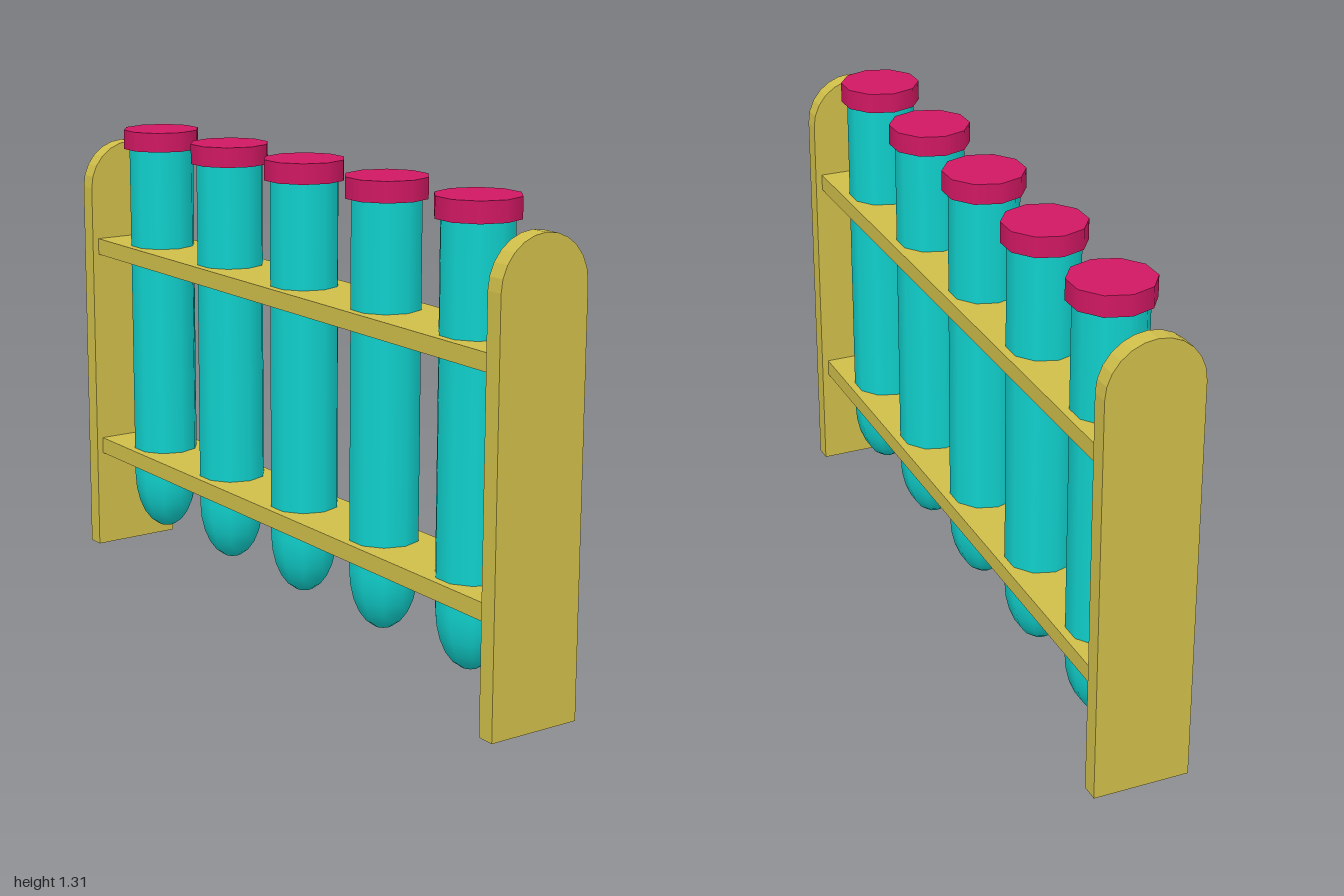
import * as THREE from 'three';

const SIDES = 10;
const wood = new THREE.MeshStandardMaterial({ color: 0xcfbe4a });
const glass = new THREE.MeshStandardMaterial({ color: 0x10d0cc });
const stopper = new THREE.MeshStandardMaterial({ color: 0xd01862 });

function add(parent, name, geometry, material, y = 0, z = 0) {
  const mesh = new THREE.Mesh(geometry, material);
  mesh.name = name;
  mesh.position.set(0, y, z);
  parent.add(mesh);
  return mesh;
}

// Upright board with a semicircular top
function endBoardGeometry(halfWidth, height, depth) {
  const shape = new THREE.Shape();
  shape.moveTo(-halfWidth, 0);
  shape.lineTo(halfWidth, 0);
  shape.absarc(0, height - halfWidth, halfWidth, 0, Math.PI, false);
  shape.closePath();
  return new THREE.ExtrudeGeometry(shape, { depth, bevelEnabled: false, curveSegments: 6 });
}

// Straight tube with an elongated round bottom
function tubeGeometry(radius, bottom, shoulder, top) {
  const profile = [];
  const steps = 6;
  for (let i = 0; i <= steps; i++) {
    const a = (i / steps) * Math.PI / 2;
    profile.push(new THREE.Vector2(radius * Math.sin(a), shoulder - (shoulder - bottom) * Math.cos(a)));
  }
  profile.push(new THREE.Vector2(radius, top));
  return new THREE.LatheGeometry(profile, SIDES);
}

export function createModel() {
  const model = new THREE.Group();
  model.name = 'testTubeRack';

  // End boards
  const board = endBoardGeometry(0.133, 1.25, 0.05);
  add(model, 'frontBoard', board, wood, 0, 0.95);
  add(model, 'backBoard', board, wood, 0, -1);

  // Shelves
  const shelf = new THREE.BoxGeometry(0.228, 0.048, 1.9);
  add(model, 'lowerShelf', shelf, wood, 0.315);
  add(model, 'upperShelf', shelf, wood, 0.938);

  // Tubes with stoppers
  const tube = tubeGeometry(0.096, 0.088, 0.26, 1.255);
  const cap = new THREE.CylinderGeometry(0.112, 0.112, 0.056, SIDES);
  for (let i = 0; i < 5; i++) {
    const unit = new THREE.Group();
    unit.name = `testTube${i + 1}`;
    unit.position.z = (i - 2) * 0.376 - 0.009;
    add(unit, 'tube', tube, glass);
    add(unit, 'cap', cap, stopper, 1.279);
    model.add(unit);
  }
  return model;
}
